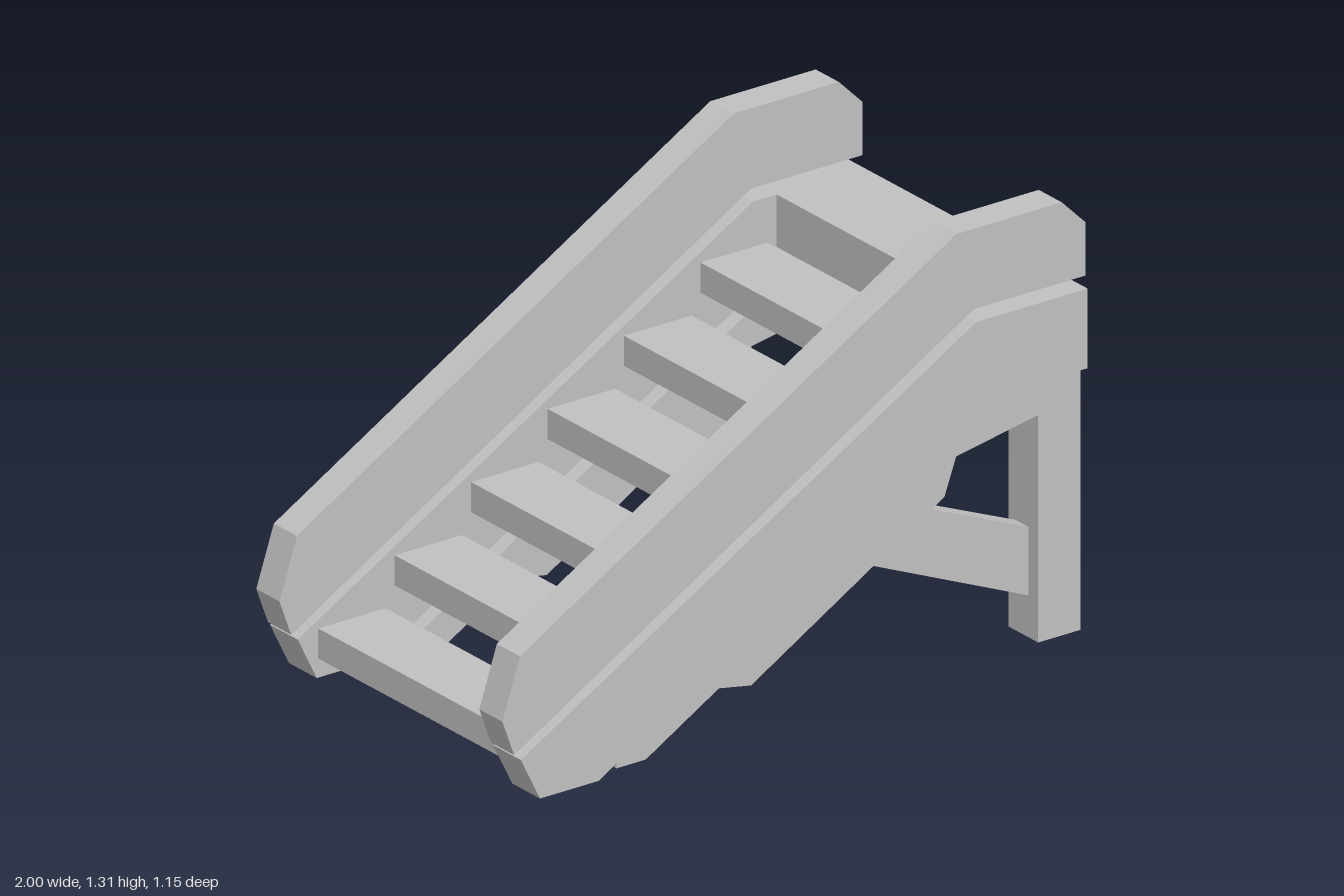
import * as THREE from 'three';

export function createModel() {
  const model = new THREE.Group();
  model.name = 'staircase';
  const grey = new THREE.MeshStandardMaterial({ color: 0xc0c0c0 });
  grey.name = 'plain grey';

  // Side profile (x, y) extruded from z0 to z1
  function plank(name, points, z0, z1) {
    const shape = new THREE.Shape(points.map(([x, y]) => new THREE.Vector2(x, y)));
    const geo = new THREE.ExtrudeGeometry(shape, { depth: z1 - z0, bevelEnabled: false });
    geo.translate(0, 0, z0);
    const mesh = new THREE.Mesh(geo, grey);
    mesh.name = name;
    model.add(mesh);
  }

  // The same plank on both sides of the stairs
  function pair(name, points, inner, outer) {
    plank(name + 'Front', points, inner, outer);
    plank(name + 'Back', points, -outer, -inner);
  }

  function block(name, x0, x1, y0, y1, halfWidth) {
    const mesh = new THREE.Mesh(new THREE.BoxGeometry(x1 - x0, y1 - y0, halfWidth * 2), grey);
    mesh.position.set((x0 + x1) / 2, (y0 + y1) / 2, 0);
    mesh.name = name;
    model.add(mesh);
  }

  // Side rails with chamfered ends
  pair('upperRail', [
    [-1, 0.26], [-0.96, 0.15], [0.61, 1.07], [0.99, 1.07],
    [0.99, 1.23], [0.91, 1.31], [0.55, 1.31], [-0.94, 0.44],
  ], 0.457, 0.563);

  // Stringers carrying the steps
  pair('stringer', [
    [-0.945, 0.135], [-0.88, 0.003], [-0.68, 0.003], [0.665, 0.797],
    [0.99, 0.797], [0.99, 1.035], [0.61, 1.035],
  ], 0.447, 0.574);

  // Support beams below the stringers
  pair('supportBeam', [
    [-0.59, 0.003], [-0.49, 0.003], [-0.24, 0.15], [-0.13, 0.13],
    [0.53, 0.52], [0.57, 0.63], [0.85, 0.68], [0.85, 0.797],
    [0.665, 0.797], [-0.59, 0.056],
  ], 0.4, 0.535);

  // Legs and their diagonal braces
  pair('leg', [[0.85, 0], [0.995, 0], [0.995, 0.797], [0.85, 0.797]], 0.4, 0.535);
  pair('brace', [[0.28, 0.37], [0.85, 0.125], [0.85, 0.33], [0.47, 0.49]], 0.43, 0.49);

  // Steps
  for (let i = 0; i < 6; i++) {
    const x = -0.875 + i * 0.261;
    const y = 0.06 + i * 0.15;
    block('step' + (i + 1), x, x + 0.23, y, y + 0.09, 0.46);
  }

  // Landing and the crossbar beneath it
  block('landing', 0.69, 0.99, 0.797, 1.035, 0.46);
  block('crossbar', 0.86, 0.96, 0.66, 0.797, 0.42);

  return model;
}
